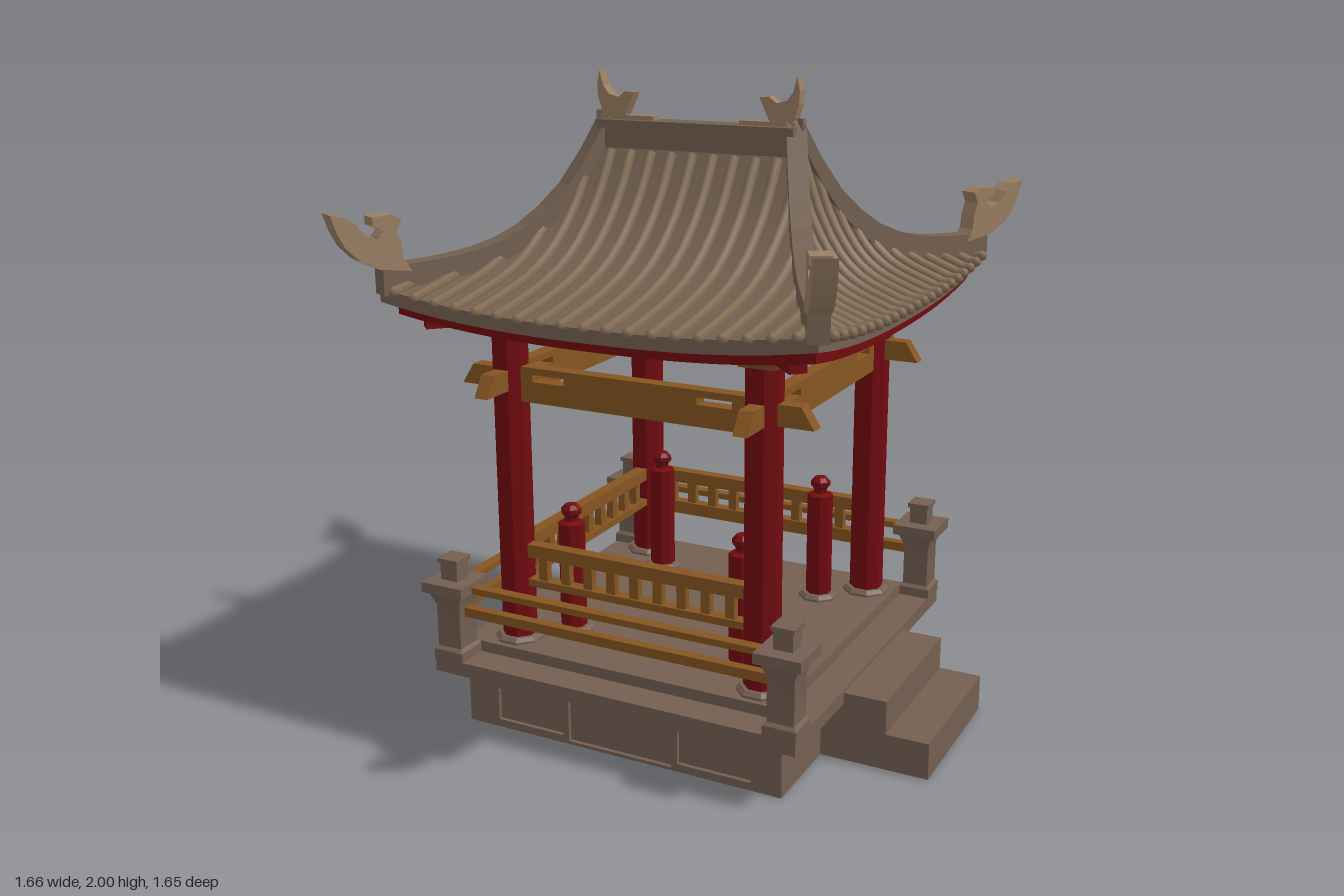
import * as THREE from 'three';
import { toCreasedNormals } from 'three/addons/utils/BufferGeometryUtils.js';

const mat = (name, color, side = THREE.FrontSide) => {
  const m = new THREE.MeshStandardMaterial({ color, side });
  m.name = name;
  return m;
};
const stone = mat('stone', 0x745f52);
const tile = mat('roof tile', 0x746152, THREE.DoubleSide);
const roll = mat('tile roll', 0x826b53, THREE.DoubleSide);
const tan = mat('ornament tan', 0x9a7f63);
const red = mat('red lacquer', 0x720b0f, THREE.DoubleSide);
const wood = mat('brown wood', 0x865521);

function add(parent, name, geo, material, x = 0, y = 0, z = 0) {
  const m = new THREE.Mesh(geo, material);
  m.name = name;
  m.position.set(x, y, z);
  parent.add(m);
  return m;
}
// box given by its bottom and top heights
const box = (p, name, m, w, y0, y1, d, x = 0, z = 0) =>
  add(p, name, new THREE.BoxGeometry(w, y1 - y0, d), m, x, (y0 + y1) / 2, z);
// faceted turned shape from [radius, y] points
const turned = (pts, sides) => {
  const g = new THREE.LatheGeometry(pts.map(([r, y]) => new THREE.Vector2(r, y)), sides);
  g.rotateY(Math.PI / sides);
  return toCreasedNormals(g, 0.4);
};
const rect = (x0, y0, x1, y1) => [[x0, y0], [x1, y0], [x1, y1], [x0, y1]];
const vecs = pts => pts.map(([x, y]) => new THREE.Vector2(x, y));
// flat outline extruded evenly about z = 0
function plate(pts, depth, holes = []) {
  const s = new THREE.Shape(vecs(pts));
  holes.forEach(h => s.holes.push(new THREE.Path(vecs(h))));
  return new THREE.ExtrudeGeometry(s, { depth, bevelEnabled: false }).translate(0, 0, -depth / 2);
}
// surface swept by fn(a, b) with a and b running 0..1
function grid(na, nb, fn) {
  const pos = [], idx = [];
  for (let i = 0; i <= na; i++) for (let j = 0; j <= nb; j++) pos.push(...fn(i / na, j / nb));
  for (let i = 0; i < na; i++) for (let j = 0; j < nb; j++) {
    const a = i * (nb + 1) + j, b = a + nb + 1;
    idx.push(a, b, a + 1, b, b + 1, a + 1);
  }
  const g = new THREE.BufferGeometry();
  g.setAttribute('position', new THREE.Float32BufferAttribute(pos, 3));
  g.setIndex(idx);
  g.computeVertexNormals();
  return g;
}

// roof slope: u runs ridge to eave, s runs hip to hip
const RIDGE = 0.32, RUN = 0.365, DEPTH = 0.68;
const PROFILE = [1.83, 1.71, 1.61, 1.54, 1.485, 1.447, 1.42, 1.401, 1.386, 1.373, 1.36];
function surfY(u, s) {
  const i = Math.min(9, Math.floor(u * 10));
  return PROFILE[i] + (PROFILE[i + 1] - PROFILE[i]) * (u * 10 - i) + 0.05 * u * u * Math.abs(s) ** 2.5;
}
const slope = (side, u, s, dy = 0) => side
  ? [RIDGE + RUN * u, surfY(u, s) + dy, -DEPTH * u * s]
  : [s * (RIDGE + RUN * u), surfY(u, s) + dy, DEPTH * u];

function addRoof(root) {
  for (let k = 0; k < 4; k++) {
    const side = k % 2, g = new THREE.Group();
    g.name = 'roofSlope';
    g.rotation.y = k > 1 ? Math.PI : 0;
    root.add(g);
    const S = b => b * 2 - 1;
    add(g, 'tileBed', grid(20, 20, (a, b) => slope(side, a, S(b))), tile);
    add(g, 'roofUnderside', grid(20, 20, (a, b) => slope(side, a, S(b), -0.035)), tile);
    add(g, 'eaveEdge', grid(1, 20, (a, b) => slope(side, 1, S(b), -0.04 * a)), tile);
    add(g, 'redFascia', grid(1, 20, (a, b) => slope(side, 0.93, S(b), -0.03 - 0.055 * a)), red);
    add(g, 'redSoffit', grid(4, 20, (a, b) => {
      const [x, y, z] = slope(side, 0.93, S(b), -0.06), s = S(b);
      const inner = side ? [0.27, 1.335, -0.27 * s] : [0.27 * s, 1.335, 0.27];
      return [x, y, z].map((v, i) => v + (inner[i] - v) * a);
    }), red);
    // rows of round cover tiles, clipped at the hips
    const n = side ? 10 : 9, step = side ? 0.063 : 0.07;
    for (let i = -n; i <= n; i++) {
      const c = i * step;
      const u0 = side ? Math.max(0.06, Math.abs(c) / DEPTH) : Math.max(0.06, (Math.abs(c) - RIDGE) / RUN);
      const pts = [];
      for (let j = 0; j <= 8; j++) {
        const u = u0 + (1 - u0) * j / 8;
        const s = side ? -c / (DEPTH * u) : c / (RIDGE + RUN * u);
        pts.push(new THREE.Vector3(...slope(side, u, s, 0.004)));
      }
      const end = pts[8].clone();
      if (side) end.x += 0.022; else end.z += 0.006;
      pts.push(end);
      add(g, 'coverTileRow', new THREE.TubeGeometry(new THREE.CatmullRomCurve3(pts), 12, 0.017, 6), roll);
      add(g, 'tileEnd', new THREE.SphereGeometry(0.017, 6, 4), roll, end.x, end.y, end.z);
    }
  }
  // hip ridges with upturned tails
  const L = Math.hypot(DEPTH, RUN) / DEPTH;
  const along = pts => pts.map(([d, y]) => [d * L, y]);
  const top = [], bottom = [];
  for (let i = 0; i <= 10; i++) {
    const u = i / 10;
    top.push([u * DEPTH, surfY(u, 1) + 0.05 + 0.015 * u]);
    bottom.unshift([u * DEPTH, surfY(u, 1) - 0.02]);
  }
  const hipGeo = plate(along([...top, ...bottom]), 0.06);
  const tailGeo = plate(along([[0.6, 1.455], [0.69, 1.47], [0.74, 1.5], [0.775, 1.54], [0.795, 1.585], [0.81, 1.637],
    [0.775, 1.628], [0.745, 1.605], [0.72, 1.57], [0.67, 1.55], [0.62, 1.49]]), 0.062);
  const curlGeo = plate(along([[0.62, 1.48], [0.69, 1.53], [0.685, 1.56], [0.672, 1.58], [0.7, 1.595], [0.7, 1.62],
    [0.65, 1.624], [0.622, 1.61], [0.637, 1.575], [0.625, 1.54]]), 0.058);
  for (const sx of [-1, 1]) for (const sz of [-1, 1]) {
    const hip = new THREE.Group();
    hip.name = 'hipRidge';
    hip.position.x = sx * RIDGE;
    hip.rotation.y = Math.atan2(-sz * DEPTH, sx * RUN);
    root.add(hip);
    add(hip, 'hipBar', hipGeo, tile);
    add(hip, 'hipTail', tailGeo, tan);
    add(hip, 'hipCurl', curlGeo, tan);
  }
  // main ridge and its horned ends
  box(root, 'ridgeWall', tile, 0.63, 1.77, 1.832, 0.07);
  box(root, 'ridgeCap', tile, 0.66, 1.83, 1.855, 0.092);
  const horn = [[0.33, 2], [0.317, 1.955], [0.297, 1.93], [0.265, 1.922], [0.24, 1.94], [0.21, 1.938],
    [0.225, 1.905], [0.24, 1.875], [0.25, 1.85], [0.3, 1.85], [0.322, 1.88], [0.336, 1.92], [0.338, 1.96]];
  const hornGeo = plate(horn.slice().reverse(), 0.038);
  for (const r of [0, Math.PI]) {
    add(root, 'ridgeHorn', hornGeo, tan).rotation.y = r;
    box(root, 'hornFoot', tan, 0.18, 1.85, 1.868, 0.038, r ? -0.235 : 0.235);
  }
}

export function createModel() {
  const model = new THREE.Group();
  model.name = 'pavilion';
  const root = new THREE.Group();
  root.name = 'pavilionBody';
  root.position.x = -0.06;
  model.add(root);

  // stone platform and steps
  box(root, 'platformCore', stone, 1.05, 0.005, 0.19, 1.05);
  box(root, 'platformSlab', stone, 1.22, 0.19, 0.235, 1.22);
  box(root, 'floor', stone, 1.02, 0.235, 0.27, 1.02);
  box(root, 'upperStep', stone, 0.22, 0.005, 0.225, 0.5, 0.635);
  box(root, 'lowerStep', stone, 0.14, 0.005, 0.12, 0.5, 0.81);

  const panels = [rect(-0.43, 0.03, -0.195, 0.135), rect(-0.175, 0.015, 0.18, 0.16), rect(0.2, 0.03, 0.44, 0.135)];
  const beamGeo = plate([[-0.58, 1.085], [-0.4, 1.085], [-0.4, 1.05], [0.4, 1.05], [0.4, 1.085], [0.58, 1.085],
    [0.54, 1.148], [0.4, 1.148], [0.4, 1.158], [-0.4, 1.158], [-0.4, 1.148], [-0.54, 1.148]], 0.045,
  [rect(-0.33, 1.115, -0.22, 1.137), rect(0.22, 1.115, 0.33, 1.137)]);

  // four sides, counted from the front; side 1 is the open entrance
  for (let k = 0; k < 4; k++) {
    const g = new THREE.Group();
    g.name = 'side';
    g.rotation.y = k * Math.PI / 2;
    root.add(g);
    add(g, 'panelledFace', plate(rect(-0.538, 0.005, 0.538, 0.19), 0.014, k === 1 ? [] : panels), stone, 0, 0, 0.531);
    add(g, 'tieBeam', beamGeo, wood, 0, 0, 0.42);
    box(g, 'eavePurlin', red, 0.84, 1.295, 1.34, 0.05, 0, 0.42);
    box(g, 'innerRingBeam', red, 0.57, 1.3, 1.36, 0.03, 0, 0.27);
    if (k !== 1) {
      box(g, 'outerTopRail', wood, 1.06, 0.457, 0.477, 0.035, 0, 0.56);
      box(g, 'outerLowRail', wood, 1.06, 0.375, 0.405, 0.03, 0, 0.56);
      box(g, 'balustradeTopRail', wood, 0.76, 0.55, 0.592, 0.04, 0, 0.42);
      box(g, 'balustradeLowRail', wood, 0.76, 0.455, 0.478, 0.04, 0, 0.42);
      for (let i = -4; i <= 4; i++) box(g, 'baluster', wood, 0.03, 0.47, 0.555, 0.025, i * 0.08, 0.42);
    }
  }

  // four corners
  const discGeo = r => turned([[0, 0.265], [r, 0.265], [r, 0.277], [r - 0.012, 0.288], [0, 0.288]], 8);
  const pillarGeo = turned([[0, 0.28], [0.055, 0.28], [0.055, 1.26], [0, 1.26]], 8);
  const shortGeo = turned([[0, 0.28], [0.042, 0.28], [0.042, 0.63], [0.022, 0.637], [0.022, 0.65],
    [0.032, 0.662], [0.032, 0.677], [0.02, 0.69], [0, 0.693]], 8);
  const q = Math.SQRT2;
  const bracketGeo = turned([[0, 1.25], [0.055 * q, 1.25], [0.066 * q, 1.27], [0.066 * q, 1.325], [0, 1.325]], 4);
  const stonePostGeo = turned([[0, 0.23], [0.052, 0.23], [0.052, 0.265], [0.042, 0.275], [0.042, 0.41], [0.058, 0.455],
    [0.073, 0.457], [0.073, 0.49], [0.03, 0.492], [0.03, 0.545], [0.036, 0.548], [0.036, 0.562], [0, 0.567]]
    .map(([r, y]) => [r * q, y]), 4);
  for (const sx of [-1, 1]) for (const sz of [-1, 1]) {
    const put = (name, geo, m, o) => add(root, name, geo, m, sx * o, 0, sz * o);
    put('pillarBase', discGeo(0.078), stone, 0.42);
    put('pillar', pillarGeo, red, 0.42);
    put('bracket', bracketGeo, wood, 0.42);
    put('shortPostBase', discGeo(0.066), stone, 0.297);
    put('shortPost', shortGeo, red, 0.297);
    put('stonePost', stonePostGeo, stone, 0.56);
    box(root, 'hipRafter', red, 0.27, 1.285, 1.345, 0.05, sx * 0.5, sz * 0.5).rotation.y = -sx * sz * Math.PI / 4;
  }

  addRoof(root);
  return model;
}
